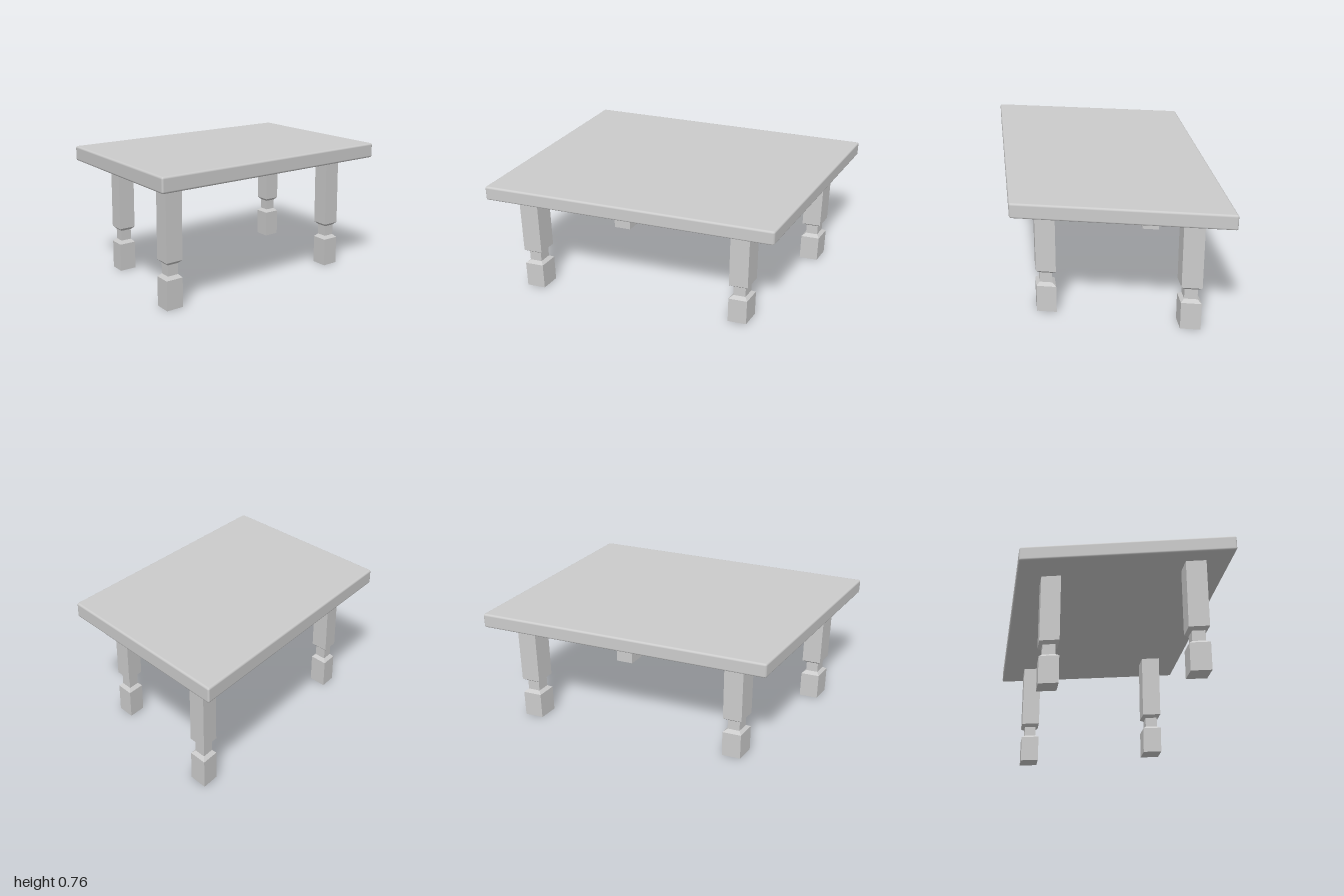
import * as THREE from 'three';
import { RoundedBoxGeometry } from 'three/addons/geometries/RoundedBoxGeometry.js';

// Slants a geometry so that z grows with x
const SLANT = 0.254;
function slant(geometry) {
  const m = new THREE.Matrix4().set(
    1, 0, 0, 0,
    0, 1, 0, 0,
    SLANT, 0, 1, 0,
    0, 0, 0, 1);
  return geometry.applyMatrix4(m);
}

// Square turned leg: [half width, height] from foot to top
function legGeometry() {
  const profile = [
    [0, 0], [0.056, 0], [0.056, 0.166], [0.036, 0.184],
    [0.036, 0.246], [0.056, 0.263], [0.056, 0.685], [0, 0.685],
  ].map(([h, y]) => new THREE.Vector2(h * Math.SQRT2, y));
  const g = new THREE.LatheGeometry(profile, 4).rotateY(Math.PI / 4).toNonIndexed();
  g.computeVertexNormals();
  return slant(g);
}

export function createModel() {
  const group = new THREE.Group();
  group.name = 'table';
  const smooth = new THREE.MeshStandardMaterial({ color: 0xcccccc });
  const flat = new THREE.MeshStandardMaterial({ color: 0xcccccc, flatShading: true });

  // Parallelogram top with softened edges
  const top = new THREE.Mesh(slant(new RoundedBoxGeometry(1.18, 0.088, 1.7, 3, 0.012)), smooth);
  top.name = 'tableTop';
  top.position.y = 0.72;
  group.add(top);

  // Four legs, set in from the corners
  const leg = legGeometry();
  for (const x of [-1, 1]) {
    for (const z of [-1, 1]) {
      const mesh = new THREE.Mesh(leg, flat);
      mesh.name = `${z > 0 ? 'front' : 'back'}${x > 0 ? 'Left' : 'Right'}Leg`;
      mesh.position.set(x * 0.393, 0, z * 0.645 + x * 0.146);
      group.add(mesh);
    }
  }
  return group;
}
